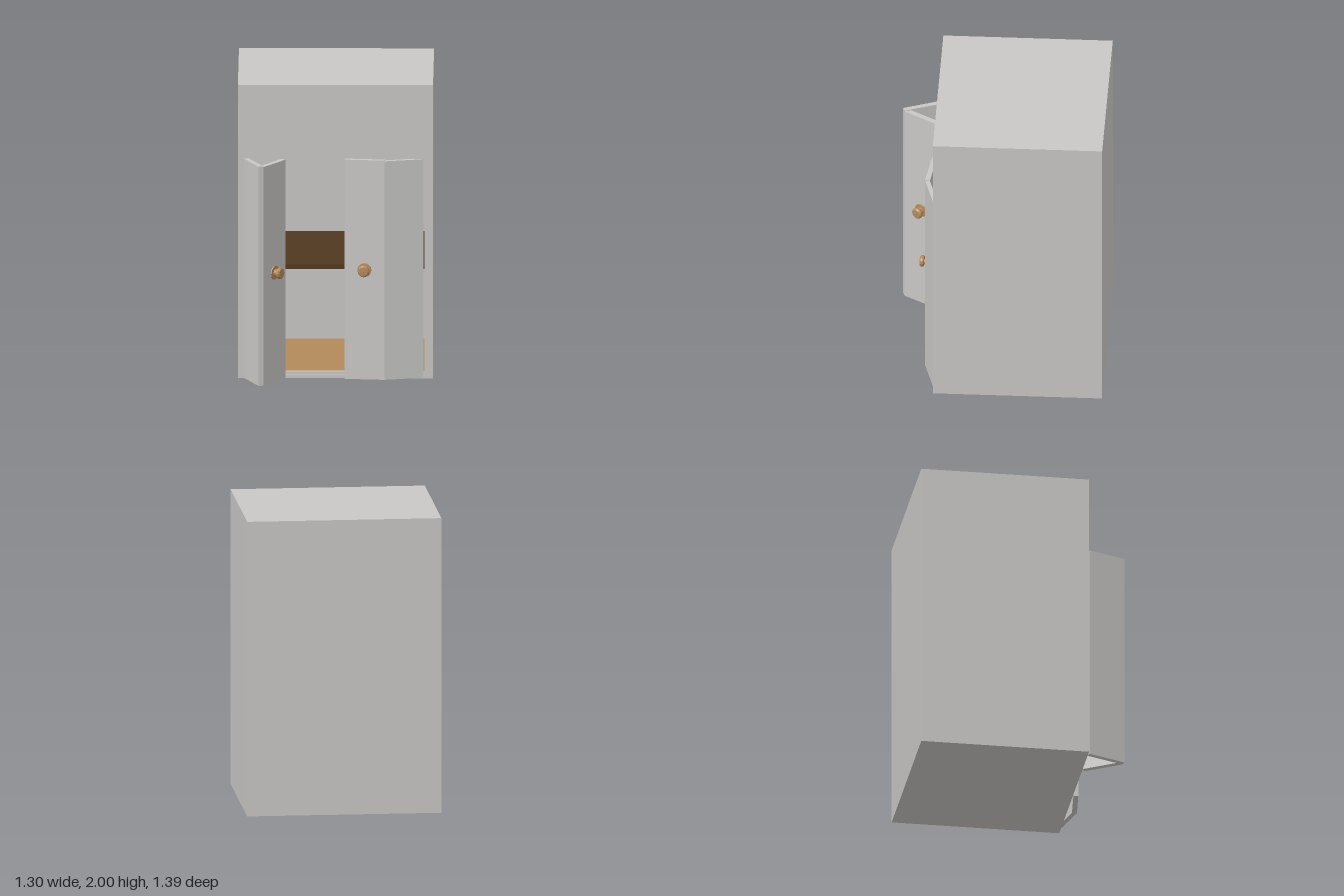
import * as THREE from 'three';

const mat = (name, color) => Object.assign(new THREE.MeshStandardMaterial({ color }), { name });

export function createModel() {
  const grey = mat('grey paint', 0xc8c7c5);
  const oak = mat('light oak', 0xb28a5a);
  const walnut = mat('dark walnut', 0x4f3820);
  const group = new THREE.Group();

  const add = (name, geometry, material) => {
    const mesh = new THREE.Mesh(geometry, material);
    mesh.name = name;
    group.add(mesh);
    return mesh;
  };
  // Box given by its ranges along each axis
  const box = (name, material, [x0, x1], [y0, y1], [z0, z1]) =>
    add(name, new THREE.BoxGeometry(x1 - x0, y1 - y0, z1 - z0), material)
      .position.set((x0 + x1) / 2, (y0 + y1) / 2, (z0 + z1) / 2);
  // Upright prism over a floor plan of [x, z] points
  const prism = (name, plan, y0, y1) => {
    const shape = new THREE.Shape(plan.map(([x, z]) => new THREE.Vector2(x, -z)));
    const geometry = new THREE.ExtrudeGeometry(shape, { depth: y1 - y0, bevelEnabled: false });
    add(name, geometry.rotateX(-Math.PI / 2).translate(0, y0, 0), grey);
  };
  const rectangle = (Kind, x, y0, y1) => new Kind([
    new THREE.Vector2(-x, y0), new THREE.Vector2(x, y0),
    new THREE.Vector2(x, y1), new THREE.Vector2(-x, y1)]);

  // Hollow closet body, closed at the rear
  const outline = rectangle(THREE.Shape, 0.65, 0, 2);
  outline.holes.push(rectangle(THREE.Path, 0.592, 0.02, 1.475));
  add('closetBody', new THREE.ExtrudeGeometry(outline, { depth: 1.13, bevelEnabled: false })
    .translate(0, 0, -0.695), grey);
  box('backPanel', grey, [-0.592, 0.592], [0.02, 1.475], [-0.695, -0.64]);

  // Interior
  box('floor', oak, [-0.592, 0.592], [0.02, 0.03], [-0.64, 0.385]);
  box('shelf', walnut, [-0.592, 0.592], [0.735, 0.765], [-0.64, 0.39]);
  box('floorTrack', grey, [-0.592, 0.592], [0.02, 0.04], [0.385, 0.41]);

  // Two folding doors, the right one further open
  prism('rightOuterLeaf', [[-0.61, 0.445], [-0.578, 0.433], [-0.495, 0.645], [-0.478, 0.685], [-0.51, 0.695]], 0.004, 1.5);
  prism('rightInnerLeaf', [[-0.363, 0.433], [-0.333, 0.455], [-0.478, 0.685], [-0.495, 0.645]], 0.004, 1.495);
  prism('leftInnerLeaf', [[0.063, 0.44], [0.059, 0.472], [0.326, 0.504], [0.33, 0.471]], 0.004, 1.5);
  prism('leftOuterLeaf', [[0.326, 0.504], [0.585, 0.435], [0.577, 0.403], [0.33, 0.471]], 0.004, 1.495);

  // Turned knobs with a backing plate, pointing out of the leaf
  const profile = [[0, 0], [0.048, 0], [0.046, 0.007], [0.026, 0.009], [0.018, 0.03],
    [0.034, 0.03], [0.039, 0.038], [0.039, 0.05], [0.031, 0.058], [0, 0.06]]
    .map(([r, h]) => new THREE.Vector2(r, h));
  const knobGeometry = new THREE.LatheGeometry(profile, 12).rotateX(Math.PI / 2).toNonIndexed();
  knobGeometry.computeVertexNormals();
  for (const [name, x, z, angle] of [
    ['rightKnob', -0.405, 0.57, 1.008],
    ['leftKnob', 0.193, 0.487, -0.119],
  ]) {
    const knob = add(name, knobGeometry, oak);
    knob.position.set(x, 0.75, z);
    knob.rotation.y = angle;
  }
  return group;
}
